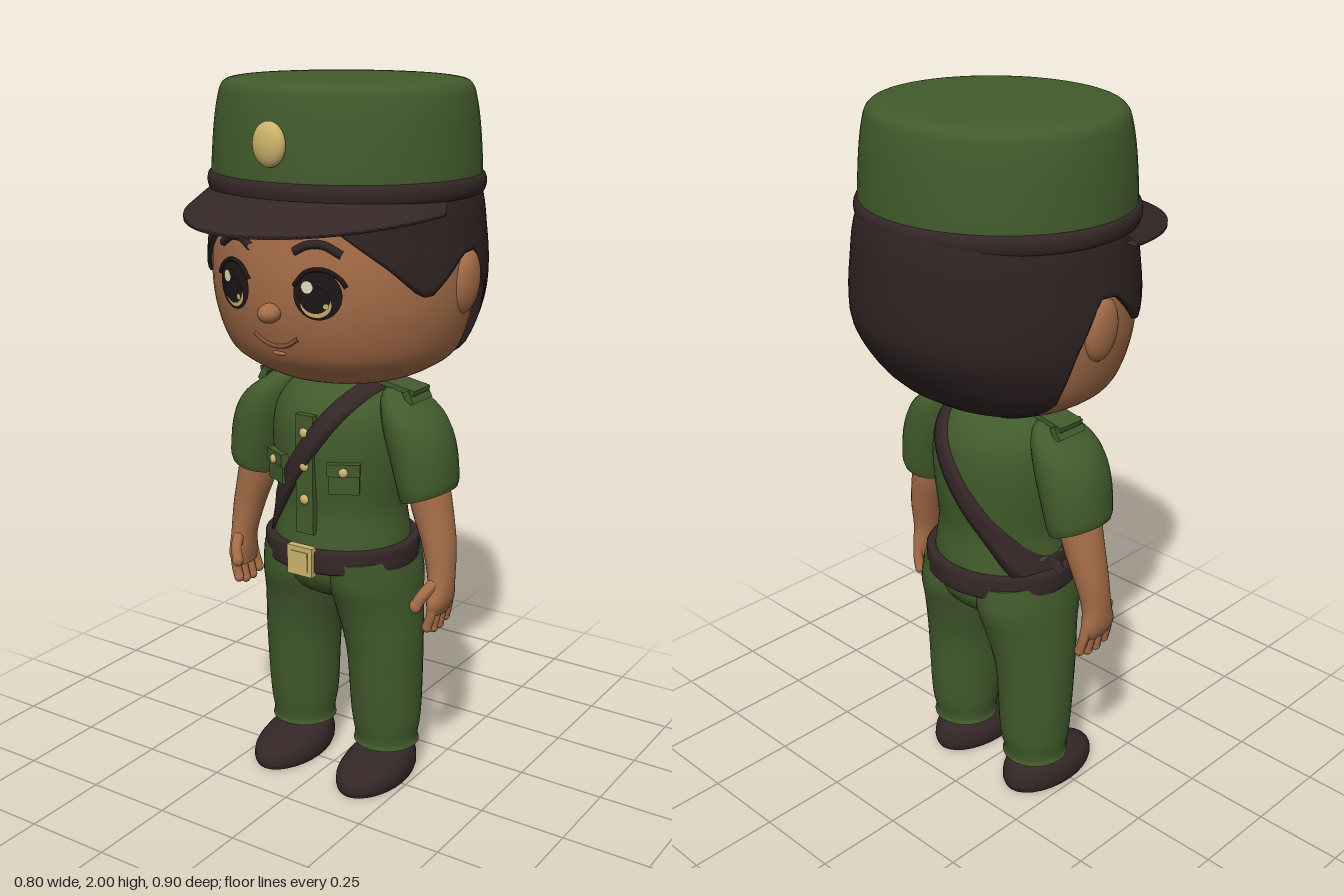
import * as THREE from 'three';

const flat = (name, color, side = THREE.FrontSide) => {
  const m = new THREE.MeshStandardMaterial({ color, side });
  m.name = name;
  return m;
};
const v2 = (list) => list.map(([x, y]) => new THREE.Vector2(x, y));
const spline = (list, n = 48) => new THREE.SplineCurve(v2(list)).getPoints(n);

// Radius of a lathe profile at height y
function radiusAt(pts, y) {
  for (let i = 1; i < pts.length; i++) {
    if (y <= pts[i].y) {
      const k = (y - pts[i - 1].y) / (pts[i].y - pts[i - 1].y || 1);
      return THREE.MathUtils.lerp(pts[i - 1].x, pts[i].x, THREE.MathUtils.clamp(k, 0, 1));
    }
  }
  return pts[pts.length - 1].x;
}

// Surface from a rule fn(i, j) => [x, y, z]; i may wrap around
function grid(nu, nv, fn, wrap = true) {
  const pos = [], idx = [];
  for (let i = 0; i < nu; i++) for (let j = 0; j < nv; j++) pos.push(...fn(i, j));
  for (let i = 0; i < (wrap ? nu : nu - 1); i++) {
    for (let j = 0; j < nv - 1; j++) {
      const a = i * nv + j, b = ((i + 1) % nu) * nv + j;
      idx.push(a, b, b + 1, a, b + 1, a + 1);
    }
  }
  const g = new THREE.BufferGeometry();
  g.setAttribute('position', new THREE.Float32BufferAttribute(pos, 3));
  g.setIndex(idx);
  g.computeVertexNormals();
  return g;
}

// Closed body through rings [y, cx, rx, cz, rz, tilt], listed bottom to top
function loft(rings, seg = 28, steps = 20) {
  const c = new THREE.CatmullRomCurve3(rings.map((r) => new THREE.Vector3(r[1], r[0], r[3])), false, 'catmullrom');
  const s = new THREE.CatmullRomCurve3(rings.map((r) => new THREE.Vector3(r[2], r[5] || 0, r[4])), false, 'catmullrom');
  return grid(seg, steps + 5, (i, j) => {
    const t = THREE.MathUtils.clamp((j - 2) / steps, 0, 1);
    const p = c.getPoint(t), r = s.getPoint(t), a = (i / seg) * Math.PI * 2;
    const k = j === 0 || j === steps + 4 ? 0 : 1;
    const dx = r.x * Math.sin(a) * k;
    return [p.x + dx, p.y + r.y * dx, p.z + r.z * Math.cos(a) * k];
  });
}

const place = (g, [x, y, z], rot = [0, 0, 0], sc = [1, 1, 1]) => g.applyMatrix4(new THREE.Matrix4().compose(
  new THREE.Vector3(x, y, z), new THREE.Quaternion().setFromEuler(new THREE.Euler(...rot)), new THREE.Vector3(...sc)));
const ball = (p, sc, rot) => place(new THREE.SphereGeometry(1, 24, 16), p, rot, sc);
const box = (p, size, rot) => place(new THREE.BoxGeometry(...size), p, rot);
const tube = (pts, r, n = 16) => new THREE.TubeGeometry(new THREE.CatmullRomCurve3(pts.map((p) => new THREE.Vector3(...p))), n, r, 8);
function mirrored(geo) {
  const g = geo.clone().scale(-1, 1, 1), a = g.index.array;
  for (let i = 0; i < a.length; i += 3) [a[i], a[i + 1]] = [a[i + 1], a[i]];
  return g;
}

export function createModel() {
  const root = new THREE.Group();
  root.name = 'uniformedFigure';
  const green = flat('uniformGreen', 0x425b2c);
  const skin = flat('skin', 0xa66d48);
  const hair = flat('hairBrown', 0x2f2323, THREE.DoubleSide);
  const leather = flat('darkLeather', 0x352727, THREE.DoubleSide);
  const gold = flat('gold', 0xcdb46c);
  const eyeDark = flat('eyeDark', 0x1e1616);
  const cream = flat('eyeHighlight', 0xf1e4c0);
  const lip = flat('lip', 0x85503a);
  const add = (name, geo, mat) => {
    const m = new THREE.Mesh(geo, mat);
    m.name = name;
    root.add(m);
  };
  const pair = (name, geo, mat) => {
    add(name + 'Left', geo, mat);
    add(name + 'Right', mirrored(geo), mat);
  };
  const lathe = (pts, sz, cz) => place(new THREE.LatheGeometry(pts, 56), [0, 0, cz], [0, 0, 0], [1, 1, sz]);

  // Head, with a shallower back
  const HZ = -0.06;
  const headPts = spline([[0, 1.185], [0.17, 1.2], [0.28, 1.25], [0.33, 1.3], [0.363, 1.4], [0.372, 1.5], [0.365, 1.6], [0.345, 1.72], [0.28, 1.8]]);
  const headR = (y) => radiusAt(headPts, y);
  const faceZ = (x, y) => HZ + 0.946 * Math.sqrt(Math.max(0, headR(y) ** 2 - x * x));
  const head = new THREE.LatheGeometry(headPts, 56);
  const hp = head.attributes.position;
  for (let i = 0; i < hp.count; i++) hp.setZ(i, HZ + hp.getZ(i) * (hp.getZ(i) > 0 ? 0.946 : 0.77));
  add('head', head, skin);

  // Hair shell: its lower edge height follows the angle from the front
  const hairline = v2([[1.67, 0], [1.66, 0.4], [1.62, 0.55], [1.54, 0.85], [1.47, 1.08], [1.465, 1.16], [1.52, 1.34],
    [1.565, 1.48], [1.57, 1.65], [1.43, 1.84], [1.3, 1.96], [1.24, 2.12], [1.2, 2.5], [1.195, 3.15]]);
  add('hair', grid(96, 18, (i, j) => {
    const a = (i / 96) * Math.PI * 2;
    const low = radiusAt(hairline, a > Math.PI ? Math.PI * 2 - a : a);
    const y = THREE.MathUtils.lerp(low, 1.73, Math.max(0, j - 1) / 16);
    const r = headR(y) * (j === 0 ? 0.93 : 1.035), c = Math.cos(a);
    const back = 0.77 + 0.25 * THREE.MathUtils.smoothstep(y, 1.18, 1.48);
    return [r * Math.sin(a), y, HZ + r * c * (c > 0 ? 0.946 : back)];
  }), hair);
  pair('ear', ball([0.365, 1.485, -0.07], [0.032, 0.086, 0.056], [0, 0, -0.08]), skin);

  // Face details laid on the head surface
  const disc = (x, y, rx, ry, lift) => grid(28, 5, (i, j) => {
    const a = (i / 28) * Math.PI * 2, k = 1 - j / 4;
    const px = x + rx * k * Math.cos(a), py = y + ry * k * Math.sin(a);
    return [px, py, faceZ(px, py) + lift];
  });
  const onFace = (list, lift) => list.map(([x, y]) => [x, y, faceZ(x, y) + lift]);
  pair('eye', disc(0.13, 1.478, 0.06, 0.064, 0.005), eyeDark);
  pair('iris', disc(0.128, 1.455, 0.038, 0.034, 0.008), gold);
  pair('pupil', disc(0.128, 1.468, 0.037, 0.036, 0.011), eyeDark);
  for (const s of [-1, 1]) {
    add('eyeHighlight', disc(s * 0.13 - 0.02, 1.5, 0.015, 0.016, 0.013), cream);
    add('eyeGlint', disc(s * 0.13 + 0.026, 1.452, 0.007, 0.007, 0.013), gold);
  }
  pair('lash', tube(onFace([[0.07, 1.5], [0.1, 1.535], [0.145, 1.543], [0.185, 1.52], [0.197, 1.5]], 0.003), 0.006), eyeDark);
  pair('eyebrow', tube(onFace([[0.068, 1.585], [0.1, 1.602], [0.14, 1.604], [0.185, 1.58]], 0.003), 0.011), hair);
  add('nose', ball([0, 1.422, 0.298], [0.03, 0.026, 0.033]), skin);
  add('mouth', tube(onFace([[-0.068, 1.358], [-0.035, 1.337], [0, 1.33], [0.035, 1.337], [0.068, 1.358]], 0.001), 0.006), lip);
  add('lowerLip', ball([0, 1.31, faceZ(0, 1.31)], [0.022, 0.006, 0.006]), skin);

  // Cap
  add('capCrown', lathe(spline([[0.368, 1.72], [0.368, 1.77], [0.36, 1.87], [0.349, 1.94], [0.335, 1.978], [0.3, 1.993], [0.2, 1.999], [0, 2]]), 0.94, HZ), green);
  add('capBand', lathe(spline([[0.36, 1.7], [0.374, 1.705], [0.38, 1.73], [0.374, 1.75], [0.36, 1.752]], 14), 0.94, HZ), leather);
  add('capVisor', grid(41, 4, (i, j) => {
    const a = (i / 40 - 0.5) * 2.7, out = j === 1 || j === 2, c = Math.cos(a);
    const y = out ? 1.688 - 0.042 * c : 1.715;
    return [(out ? 0.38 : 0.36) * Math.sin(a), y - (j > 1 ? (out ? 0.01 : 0.03) : 0), HZ + (out ? 0.512 : 0.34) * c];
  }, false), leather);
  add('capBadge', ball([0, 1.845, 0.29], [0.048, 0.057, 0.026]), gold);

  // Torso, collar and shoulder tabs
  const TZ = -0.045, TS = 0.92;
  const torsoPts = spline([[0.205, 0.66], [0.2, 0.74], [0.188, 0.83], [0.197, 0.93], [0.202, 1.02], [0.192, 1.1], [0.155, 1.16], [0.1, 1.2]]);
  const torsoZ = (x, y) => TS * Math.sqrt(Math.max(0, radiusAt(torsoPts, y) ** 2 - x * x));
  add('shirtBody', lathe(torsoPts, TS, TZ), green);
  add('collarStand', place(new THREE.CylinderGeometry(0.098, 0.105, 0.12, 32), [0, 1.15, TZ]), green);
  add('collarFold', place(new THREE.TorusGeometry(0.1, 0.023, 12, 40), [0, 1.165, TZ], [Math.PI / 2 + 0.1, 0, 0]), green);
  pair('shoulderTab', box([0.19, 1.19, TZ], [0.13, 0.014, 0.085], [0, 0, -0.18]), green);
  pair('shoulderTabEnd', box([0.24, 1.165, TZ], [0.02, 0.04, 0.1], [0, 0, 0.5]), green);

  // Shirt front
  add('placket', box([0, 0.945, 0.134], [0.056, 0.34, 0.026]), green);
  for (const y of [1.065, 0.97, 0.875]) add('shirtButton', ball([0, y, 0.148], [0.014, 0.014, 0.008]), gold);
  const turn = [0, 0.5, 0];
  pair('pocket', box([0.107, 0.945, 0.112], [0.085, 0.085, 0.024], turn), green);
  pair('pocketFlap', box([0.109, 0.972, 0.117], [0.09, 0.035, 0.026], turn), green);
  pair('pocketButton', ball([0.116, 0.967, 0.13], [0.013, 0.013, 0.009], turn), gold);

  // Diagonal strap, front and back
  for (const s of [1, -1]) {
    add(s > 0 ? 'strapFront' : 'strapBack', grid(33, 6, (i, j) => {
      const x0 = -0.205 + 0.332 * (i / 32), y0 = 0.72 + (x0 + 0.2) * 1.44;
      const w = [-0.026, -0.026, -0.009, 0.009, 0.026, 0.026][j];
      const x = x0 - 0.82 * w, y = y0 + 0.57 * w;
      return [x, y, TZ + s * (torsoZ(x, y) + (j === 0 || j === 5 ? -0.01 : 0.014))];
    }, false), leather);
  }

  // Belt and buckle
  add('belt', lathe(v2([[0.19, 0.668], [0.22, 0.668], [0.226, 0.675], [0.226, 0.727], [0.22, 0.734], [0.18, 0.734]]), 0.93, TZ), leather);
  add('buckle', box([0, 0.702, 0.162], [0.082, 0.085, 0.022]), gold);
  add('bucklePlate', box([0, 0.702, 0.172], [0.054, 0.056, 0.008]), gold);

  // Sleeves, arms and hands
  pair('sleeve', loft([[0.893, 0.286, 0.07, -0.04, 0.098, 0.33], [0.92, 0.284, 0.075, -0.04, 0.106, 0.32], [1.0, 0.268, 0.082, -0.04, 0.112, 0.25],
    [1.08, 0.243, 0.086, -0.04, 0.11, 0], [1.14, 0.22, 0.075, -0.042, 0.092, -0.25], [1.185, 0.195, 0.03, -0.045, 0.04, -0.4]]), green);
  pair('arm', loft([[0.565, 0.335, 0.02, -0.02, 0.05], [0.6, 0.34, 0.029, -0.02, 0.06], [0.66, 0.339, 0.035, -0.025, 0.047],
    [0.75, 0.325, 0.046, -0.035, 0.052], [0.85, 0.298, 0.057, -0.04, 0.06], [0.95, 0.275, 0.06, -0.04, 0.065]]), skin);
  for (let i = 0; i < 4; i++) {
    const z = 0.022 - i * 0.029, tip = 0.53 - (i === 1 || i === 2 ? 0.012 : 0);
    pair('finger', tube([[0.34, 0.61, z], [0.335, 0.565, z * 1.1], [0.325, tip, z * 1.15]], 0.0145, 8), skin);
    pair('fingertip', ball([0.325, tip, z * 1.15], [0.0145, 0.016, 0.0145]), skin);
  }
  pair('thumb', tube([[0.335, 0.655, 0.01], [0.32, 0.63, 0.042], [0.305, 0.598, 0.056]], 0.017, 8), skin);
  pair('thumbTip', ball([0.305, 0.598, 0.056], [0.017, 0.02, 0.017]), skin);

  // Trousers
  add('trouserSeat', ball([0, 0.66, -0.05], [0.205, 0.12, 0.178]), green);
  pair('trouserLeg', loft([[0.1, 0.146, 0.096, -0.06, 0.096], [0.122, 0.146, 0.092, -0.06, 0.093], [0.2, 0.145, 0.101, -0.06, 0.107], [0.4, 0.141, 0.107, -0.055, 0.124],
    [0.53, 0.123, 0.116, -0.055, 0.15], [0.62, 0.112, 0.119, -0.052, 0.178], [0.7, 0.108, 0.108, -0.045, 0.18]], 32, 28), green);

  // Ankles and shoes
  pair('ankle', place(new THREE.CylinderGeometry(0.068, 0.066, 0.08, 24), [0.146, 0.09, -0.06]), skin);
  pair('shoe', loft([[0, 0.146, 0.09, -0.006, 0.156], [0.02, 0.146, 0.096, -0.007, 0.163], [0.05, 0.146, 0.093, -0.012, 0.155],
    [0.078, 0.146, 0.077, -0.035, 0.118], [0.09, 0.146, 0.05, -0.05, 0.075]]), leather);
  return root;
}
